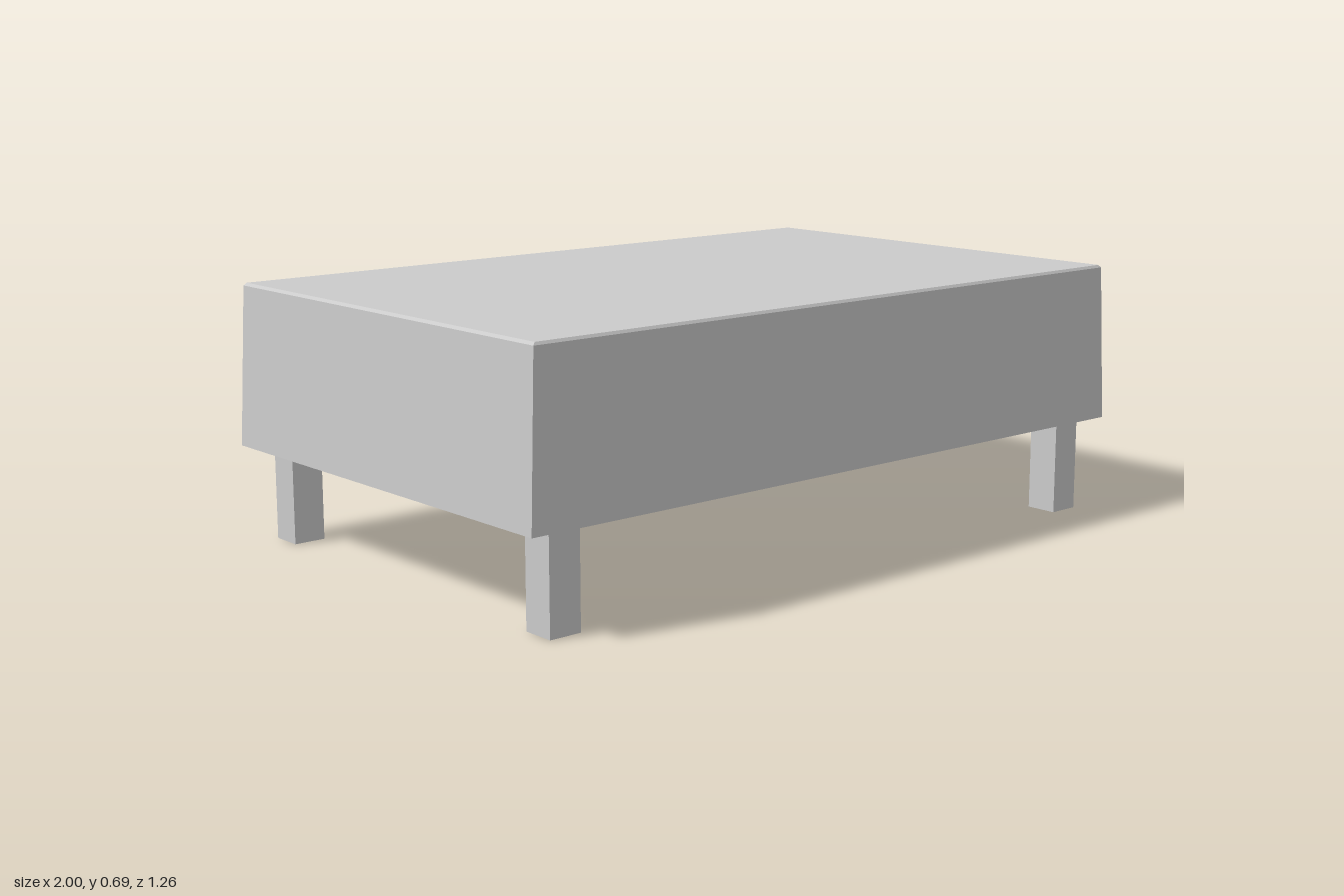
import * as THREE from 'three';

const material = new THREE.MeshStandardMaterial({ color: 0xcccccc, flatShading: true, side: THREE.DoubleSide });

// Open rectangular loft: rings of [halfWidth, y, halfDepth] from bottom to top, closed by a flat top.
function rectLoft(rings) {
  const positions = [];
  const corners = rings.map(([w, y, d]) => [[-w, y, d], [w, y, d], [w, y, -d], [-w, y, -d]]);
  const quad = (a, b, c, d) => positions.push(...a, ...b, ...c, ...a, ...c, ...d);
  for (let r = 0; r < rings.length - 1; r++) {
    for (let i = 0; i < 4; i++) {
      const j = (i + 1) % 4;
      quad(corners[r][i], corners[r][j], corners[r + 1][j], corners[r + 1][i]);
    }
  }
  quad(...corners[rings.length - 1]);
  const geometry = new THREE.BufferGeometry();
  geometry.setAttribute('position', new THREE.Float32BufferAttribute(positions, 3));
  geometry.computeVertexNormals();
  return geometry;
}

export function createModel() {
  const model = new THREE.Group();
  model.name = 'coveredTable';

  const add = (name, geometry, x, y, z) => {
    const mesh = new THREE.Mesh(geometry, material);
    mesh.name = name;
    mesh.position.set(x, y, z);
    model.add(mesh);
  };

  // Tapered cover with a small bevel and flat top, open underneath
  add('cover', rectLoft([
    [1, 0.255, 0.63],
    [0.981, 0.678, 0.621],
    [0.974, 0.685, 0.616],
  ]), 0, 0, 0);

  // Table top under the cover, slightly smaller than the skirt
  const legHeight = 0.59;
  const thickness = 0.085;
  add('tableTop', new THREE.BoxGeometry(1.88, thickness, 1.17), 0, legHeight + thickness / 2, 0);

  // Square legs standing under the table top
  const leg = new THREE.BoxGeometry(0.088, legHeight, 0.088);
  for (const side of [1, -1]) {
    const label = side > 0 ? 'Left' : 'Right';
    add('front' + label + 'Leg', leg, side * 0.884, legHeight / 2, 0.553);
    add('back' + label + 'Leg', leg, side * 0.884, legHeight / 2, -0.542);
  }
  return model;
}
